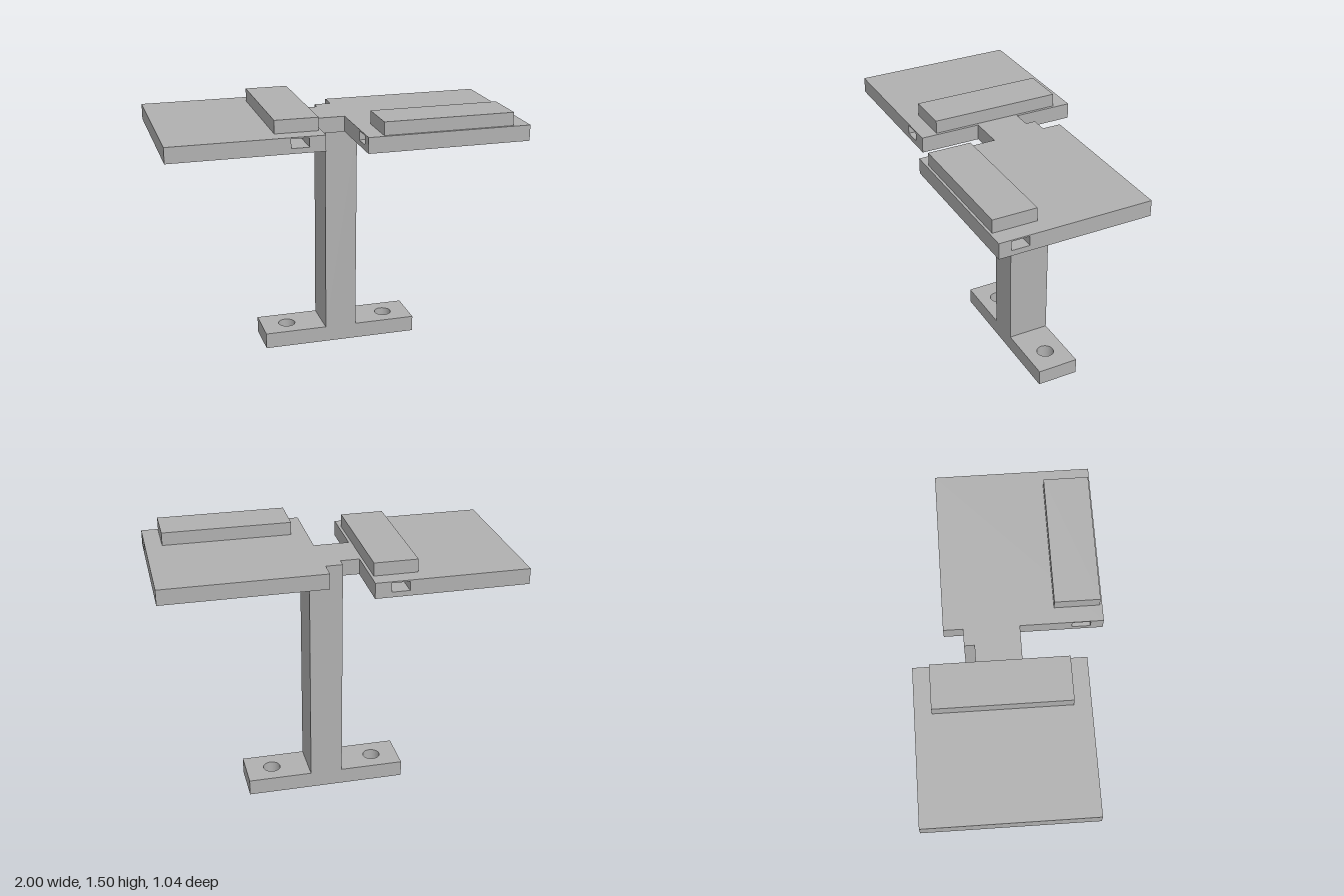
import * as THREE from 'three';

const grey = new THREE.MeshStandardMaterial({ color: 0xb0b0b0 });
grey.name = 'plain grey';

// Closed rectangle points, usable for outlines and holes
const rect = (x0, y0, x1, y1) =>
  [[x0, y0], [x1, y0], [x1, y1], [x0, y1]].map(([x, y]) => new THREE.Vector2(x, y));

const extrude = (shape, depth) =>
  new THREE.ExtrudeGeometry(shape, { depth, bevelEnabled: false, curveSegments: 32 });

// Box from its minimum and maximum corners
function box(x0, y0, z0, x1, y1, z1) {
  return new THREE.BoxGeometry(x1 - x0, y1 - y0, z1 - z0)
    .translate((x0 + x1) / 2, (y0 + y1) / 2, (z0 + z1) / 2);
}

export function createModel() {
  const group = new THREE.Group();
  const add = (name, geometry) => {
    const mesh = new THREE.Mesh(geometry, grey);
    mesh.name = name;
    group.add(mesh);
  };

  const deckBottom = 1.33, deckTop = 1.42, barTop = 1.495;
  const slotBottom = 1.36, slotTop = 1.412;
  const postBack = -0.238, postFront = 0.009;

  // Foot with two vertical bolt holes (drawn in x, -z and laid flat)
  const foot = new THREE.Shape(rect(-0.395, -postFront, 0.53, -postBack));
  for (const x of [-0.24, 0.375]) {
    foot.holes.push(new THREE.Path().absarc(x, -(postBack + postFront) / 2, 0.05, 0, Math.PI * 2, true));
  }
  add('foot', extrude(foot, 0.094).rotateX(-Math.PI / 2));

  // Upright post
  add('post', box(-0.026, 0.094, postBack, 0.161, deckBottom, postFront));

  // Stepped bridge joining the two plates over the post
  const bridge = new THREE.Shape([
    [-0.133, -0.067], [0.07, -0.067], [0.07, -postBack],
    [-0.026, -postBack], [-0.026, 0.182], [-0.133, 0.182],
  ].map(([x, y]) => new THREE.Vector2(x, y)));
  add('bridge', extrude(bridge, deckTop - deckBottom).rotateX(-Math.PI / 2).translate(0, deckBottom, 0));

  // Plate on the -x side, with a slot running front to back
  const rightPlate = new THREE.Shape(rect(-1, deckBottom, -0.133, deckTop));
  rightPlate.holes.push(new THREE.Path(rect(-0.325, slotBottom, -0.224, slotTop)));
  add('rightPlate', extrude(rightPlate, 0.928).translate(0, 0, -0.518));
  add('rightBar', box(-0.395, deckTop, -0.425, -0.149, barTop, 0.316));

  // Plate on the +x side, with a slot running side to side (drawn in -z, y)
  const leftPlate = new THREE.Shape(rect(-0.518, deckBottom, 0.345, deckTop));
  leftPlate.holes.push(new THREE.Path(rect(-0.449, slotBottom, -0.349, slotTop)));
  add('leftPlate', extrude(leftPlate, 0.93).rotateY(Math.PI / 2).translate(0.07, 0, 0));
  add('leftBar', box(0.161, deckTop, 0.257, 0.904, barTop, 0.504));

  return group;
}
